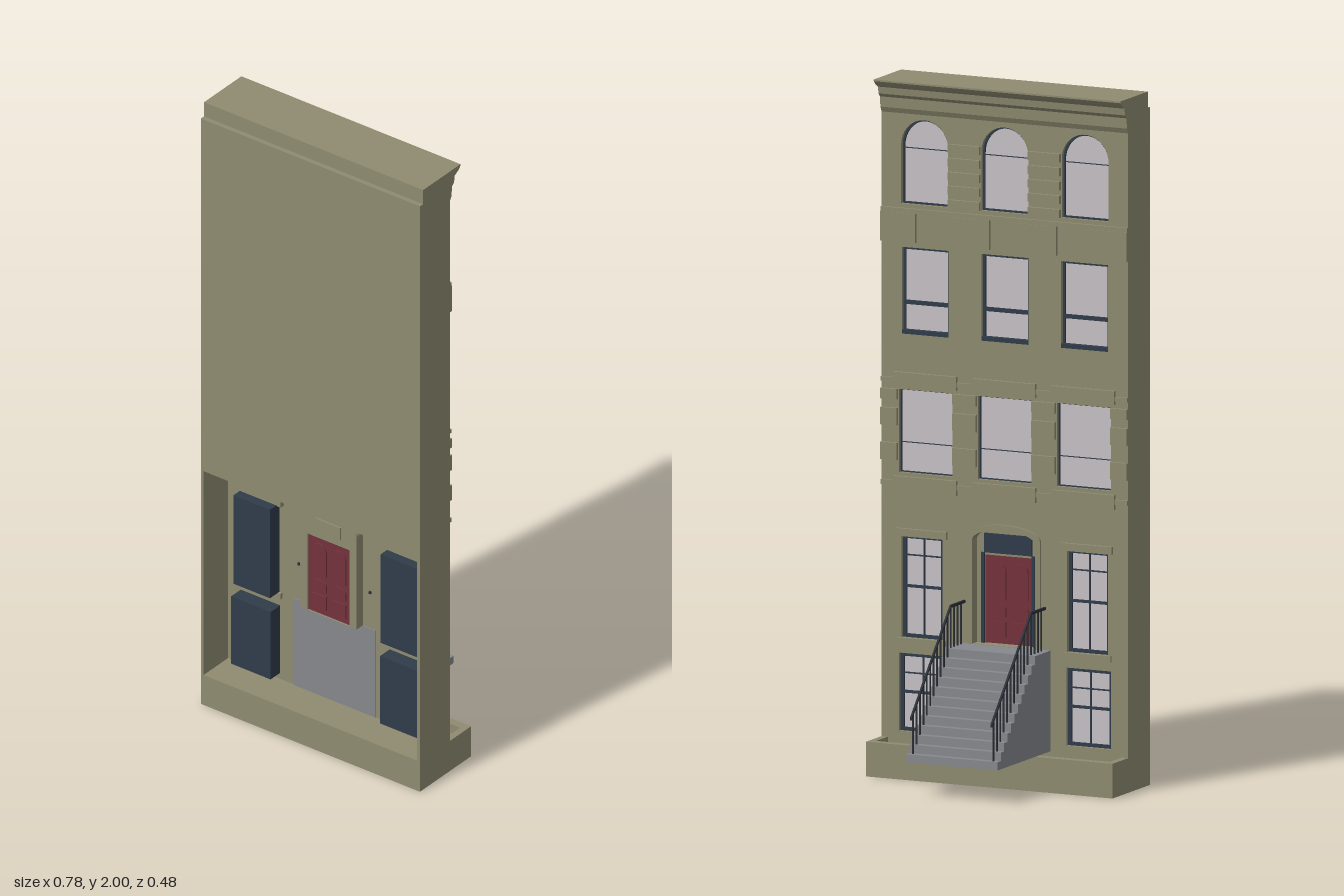
import * as THREE from 'three';

const mat = (name, color) => {
  const m = new THREE.MeshStandardMaterial({ color });
  m.name = name;
  return m;
};

export function createModel() {
  const stone = mat('olive stone', 0x8e8b70);
  const grey = mat('grey steps', 0x86888d);
  const navy = mat('navy frame', 0x303c4a);
  const glass = mat('pale glass', 0xc6c0c5);
  const red = mat('red door', 0x74323c);
  const iron = mat('dark iron', 0x2b3037);
  const root = new THREE.Group();

  const add = (name, geo, m) => {
    const mesh = new THREE.Mesh(geo, m);
    mesh.name = name;
    root.add(mesh);
    return mesh;
  };
  // box given by its limits
  const box = (name, m, x0, x1, y0, y1, z0, z1) =>
    add(name, new THREE.BoxGeometry(x1 - x0, y1 - y0, z1 - z0)
      .translate((x0 + x1) / 2, (y0 + y1) / 2, (z0 + z1) / 2), m);
  // upright shape extruded between two depths
  const slab = (name, m, shape, z0, z1) =>
    add(name, new THREE.ExtrudeGeometry(shape, { depth: z1 - z0, bevelEnabled: false, curveSegments: 12 })
      .translate(0, 0, z0), m);
  // side profile of [z, y] points swept across the width
  const sweep = (name, m, pts, w) =>
    add(name, new THREE.ExtrudeGeometry(new THREE.Shape(pts.map(p => new THREE.Vector2(...p))),
      { depth: w, bevelEnabled: false }).rotateY(-Math.PI / 2).translate(w / 2, 0, 0), m);

  // opening outline: rectangle, optionally with a curved head of the given rise
  const opening = (cx, y0, y1, w, rise = 0, inset = 0, Type = THREE.Shape) => {
    const h = w / 2 - inset, s = new Type(), top = y1 - inset - rise;
    s.moveTo(cx - h, y0 + inset);
    s.lineTo(cx + h, y0 + inset);
    s.lineTo(cx + h, top);
    if (rise) s.absellipse(cx, top, h, rise, 0, Math.PI, false);
    else s.lineTo(cx - h, top);
    s.closePath();
    return s;
  };

  // window rows: bottom, top, width, arch rise, column centres, frame width
  const rows = [
    { name: 'basementWindow', y0: 0.12, y1: 0.345, w: 0.14, xs: [-0.265, 0.265], f: 0.01, low: true },
    { name: 'parlourWindow', y0: 0.39, y1: 0.685, w: 0.13, xs: [-0.262, 0.262], f: 0.01, low: true },
    { name: 'secondFloorWindow', y0: 0.865, y1: 1.105, w: 0.17, xs: [-0.25, 0, 0.25], f: 0.003 },
    { name: 'thirdFloorWindow', y0: 1.265, y1: 1.515, w: 0.148, xs: [-0.252, 0, 0.252], f: 0.007 },
    { name: 'archedWindow', y0: 1.64, y1: 1.885, w: 0.148, rise: 0.075, xs: [-0.254, 0, 0.254], f: 0.005 },
  ];

  // facade wall with all openings
  const wall = new THREE.Shape();
  wall.moveTo(-0.39, 0.1);
  wall.lineTo(0.39, 0.1);
  wall.lineTo(0.39, 1.9);
  wall.lineTo(-0.39, 1.9);
  wall.closePath();
  rows.forEach(r => r.xs.forEach(x => wall.holes.push(opening(x, r.y0, r.y1, r.w, r.rise, 0, THREE.Path))));
  wall.holes.push(opening(0, 0.391, 0.725, 0.2, 0.035, 0, THREE.Path));
  slab('facadeWall', stone, wall, 0.1, 0.125);
  box('upperBody', stone, -0.39, 0.39, 0.78, 1.9, 0.125, 0.24);
  for (const s of [-1, 1]) {
    const a = s * 0.39, b = s * 0.38;
    box('sideWall', stone, Math.min(a, b), Math.max(a, b), 0.1, 0.78, 0.125, 0.24);
  }

  // windows: glass, frame and glazing bars
  for (const r of rows) for (const x of r.xs) {
    const h = r.w / 2, mid = r.y0 + (r.y1 - r.y0) * (r.low ? 0.5 : 0.36);
    slab(r.name + 'Glass', glass, opening(x, r.y0, r.y1, r.w, r.rise), 0.117, 0.124);
    const frame = opening(x, r.y0, r.y1, r.w, r.rise);
    frame.holes.push(opening(x, r.y0, r.y1, r.w, r.rise, r.f, THREE.Path));
    slab(r.name + 'Frame', navy, frame, 0.111, 0.118);
    if (r.low) {
      box(r.name + 'Casing', navy, x - h, x + h, r.y0, r.y1, 0.1235, 0.17);
      box(r.name + 'Bar', navy, x - 0.002, x + 0.002, r.y0, r.y1, 0.113, 0.118);
      box(r.name + 'Rail', navy, x - h, x + h, mid - 0.004, mid + 0.004, 0.112, 0.118);
      box(r.name + 'Rail', navy, x - h, x + h, r.y1 - 0.06, r.y1 - 0.056, 0.113, 0.118);
    } else {
      const t = r.name === 'thirdFloorWindow' ? 0.006 : 0.001;
      const y = r.rise ? 1.8 : mid;
      box(r.name + 'Rail', navy, x - h, x + h, y - t, y + t, 0.112, 0.118);
    }
    if (r.name === 'thirdFloorWindow') box('thirdFloorSill', navy, x - h, x + h, r.y0, r.y0 + 0.012, 0.1, 0.118);
  }

  // parlour lintels and sills
  for (const x of [-0.262, 0.262]) {
    box('parlourLintel', stone, x - 0.08, x + 0.08, 0.683, 0.705, 0.09, 0.14);
    box('parlourSill', stone, x - 0.075, x + 0.075, 0.372, 0.39, 0.093, 0.135);
  }

  // second floor bands, stepped around each window, and pier blocks
  box('upperBand', stone, -0.39, 0.39, 1.125, 1.138, 0.093, 0.1);
  box('lowerBand', stone, -0.39, 0.39, 0.828, 0.842, 0.093, 0.1);
  for (const x of [-0.25, 0, 0.25]) {
    box('windowHead', stone, x - 0.1, x + 0.1, 1.115, 1.155, 0.09, 0.1);
    box('windowSill', stone, x - 0.1, x + 0.1, 0.812, 0.855, 0.09, 0.1);
  }
  const piers = [[-0.39, -0.338], [-0.162, -0.088], [0.088, 0.162], [0.338, 0.39]];
  for (const [a, b] of piers) for (const y of [0.9, 1.0, 1.075])
    box('pierBlock', stone, a, b, y, y + (y > 1.05 ? 0.03 : 0.05), 0.09, 0.1);

  // panels under the arched floor and grooved strips between its windows
  for (const [a, b] of [[-0.39, -0.28], [-0.166, -0.045], [0.045, 0.166], [0.28, 0.39]])
    box('bandPanel', stone, a, b, 1.53, 1.615, 0.09, 0.1);
  box('bandLedge', stone, -0.39, 0.39, 1.615, 1.628, 0.092, 0.1);
  for (const s of [-1, 1]) for (let i = 0; i < 5; i++)
    box('pierStrip', stone, s * 0.127 - 0.05, s * 0.127 + 0.05, 1.64 + i * 0.04, 1.664 + i * 0.04, 0.09, 0.1);

  // cornice and roof
  sweep('cornice', stone, [[0.1, 1.9], [0.092, 1.915], [0.09, 1.945], [0.08, 1.955], [0.077, 1.975],
    [0.06, 1.985], [0.05, 1.995], [0.05, 2], [0.225, 2], [0.225, 1.953], [0.24, 1.953], [0.24, 1.9]], 0.78);

  // base with a sunken front area
  box('baseRear', stone, -0.39, 0.39, 0, 0.1, 0.1, 0.24);
  box('areaFloor', stone, -0.37, 0.37, 0, 0.07, 0.025, 0.1);
  box('areaKerb', stone, -0.39, 0.39, 0, 0.1, 0, 0.025);
  box('areaSideKerb', stone, -0.39, -0.37, 0, 0.1, 0.025, 0.1);
  box('areaSideKerb', stone, 0.37, 0.39, 0, 0.1, 0.025, 0.1);

  // doorway: surround, recessed frame, panelled door and fanlight
  const hood = opening(0, 0.39, 0.74, 0.23, 0.04);
  hood.holes.push(opening(0, 0.391, 0.725, 0.2, 0.035, 0, THREE.Path));
  slab('doorSurround', stone, hood, 0.092, 0.1);
  const alcove = opening(0, 0.39, 0.73, 0.2, 0.035);
  alcove.holes.push(opening(0, 0.391, 0.645, 0.15, 0, 0, THREE.Path));
  slab('doorFrame', stone, alcove, 0.125, 0.155);
  box('fanlight', navy, -0.075, 0.075, 0.652, 0.708, 0.119, 0.125);
  box('fanlightBackTrim', stone, -0.045, 0.045, 0.67, 0.71, 0.155, 0.16);
  for (const s of [-1, 1])
    box('doorJamb', navy, s * 0.08 - 0.005, s * 0.08 + 0.005, 0.391, 0.652, 0.119, 0.125);
  box('door', red, -0.075, 0.075, 0.39, 0.645, 0.13, 0.15);
  for (const s of [-1, 1]) for (const [y0, y1, rise] of [[0.41, 0.455, 0], [0.468, 0.505, 0.015], [0.52, 0.625, 0.025]]) {
    const panel = opening(s * 0.035, y0, y1, 0.05, rise);
    slab('doorPanel', red, panel, 0.125, 0.13);
    slab('doorPanel', red, panel, 0.15, 0.154);
  }

  // stoop
  const steps = 11, run = 0.24 / steps, rise = 0.0242, profile = [[0.128, 0.1], [0.128, 0.39]];
  for (let i = 0; i <= steps; i++) {
    const y = 0.39 - i * rise;
    if (i) profile.push([-(i - 1) * run, y]);
    profile.push([-i * run, y]);
  }
  profile.push([-0.24, 0.1]);
  sweep('stoop', grey, profile.reverse(), 0.29);

  // railings
  const railY = z => (z > 0.01 ? 0.51 : 0.51 + (z - 0.01) * 1.12);
  for (const s of [-1, 1]) {
    const x = s * 0.127;
    box('levelHandrail', iron, x - 0.003, x + 0.003, 0.506, 0.514, 0.008, 0.13);
    const rail = sweep('slopedHandrail', iron,
      [[0.01, 0.506], [0.01, 0.514], [-0.243, 0.231], [-0.243, 0.223]], 0.006);
    rail.position.x = x;
    for (let i = -4; i < steps; i++) {
      const z = -(i + 0.5) * run;
      const foot = 0.39 - Math.max(0, i + 1) * rise;
      box('baluster', iron, x - 0.002, x + 0.002, foot, railY(z), z - 0.002, z + 0.002);
    }
  }
  return root;
}
